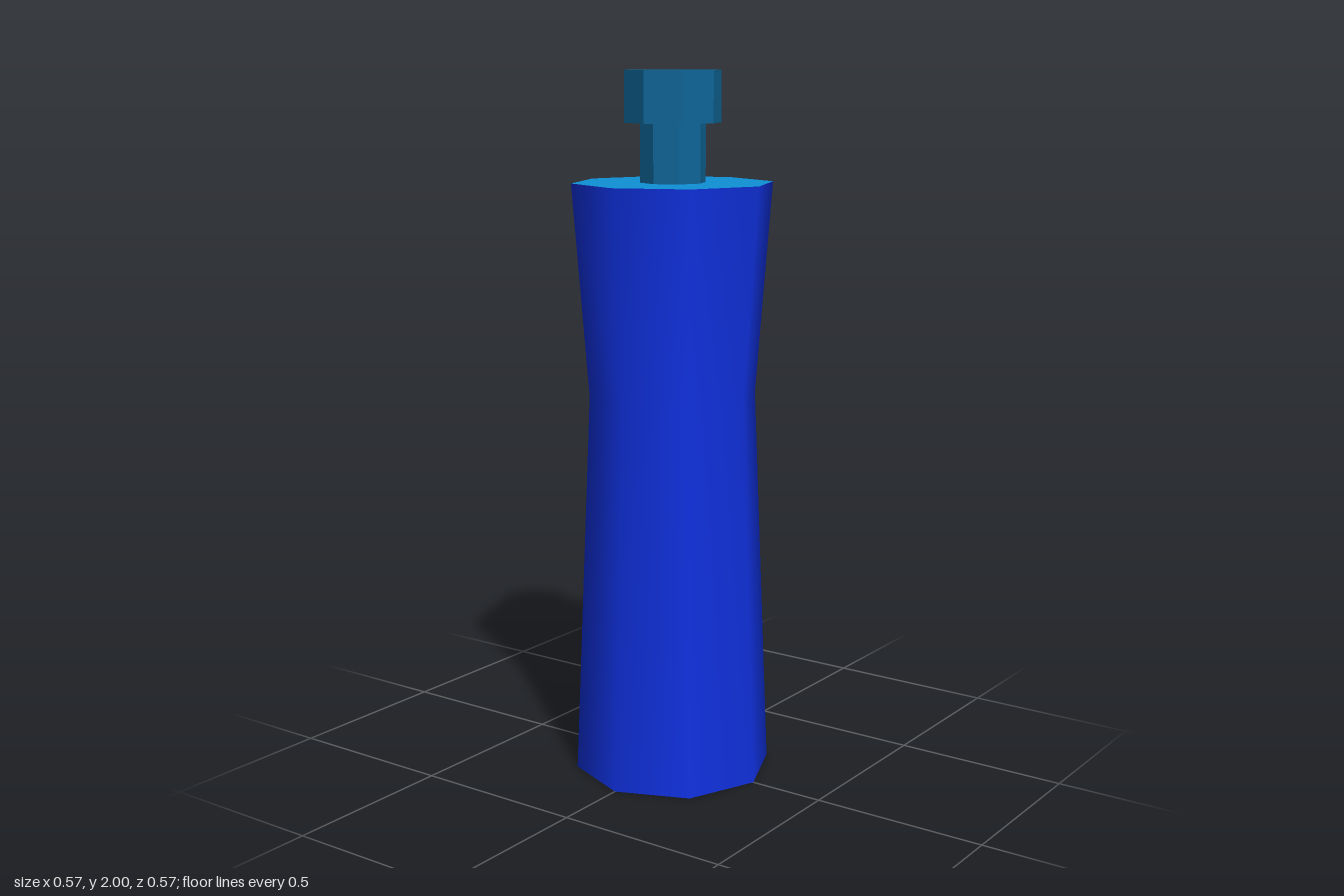
import * as THREE from 'three';

const SIDES = 8;

function material(name, color, flatShading = false) {
  const m = new THREE.MeshStandardMaterial({ color, flatShading });
  m.name = name;
  return m;
}

export function createModel() {
  const group = new THREE.Group();
  group.name = 'bottle';

  const bodyBlue = material('body blue', 0x1031e0);
  const shoulderBlue = material('shoulder light blue', 0x0f90d6);
  const capTeal = material('cap dark teal', 0x0f6699, true);

  function add(name, geometry, mat, y = 0) {
    const mesh = new THREE.Mesh(geometry, mat);
    mesh.name = name;
    mesh.position.y = y;
    group.add(mesh);
  }

  // Waisted eight-sided body with smooth walls
  const profile = [[0.283, 0], [0.237, 1.1], [0.283, 1.695]].map(([r, y]) => new THREE.Vector2(r, y));
  add('body', new THREE.LatheGeometry(profile, SIDES), bodyBlue);

  // Flat base and shoulder discs closing the body
  add('base', new THREE.CircleGeometry(0.283, SIDES).rotateX(Math.PI / 2), bodyBlue);
  add('shoulder', new THREE.CircleGeometry(0.283, SIDES).rotateX(-Math.PI / 2), shoulderBlue, 1.695);

  // Faceted neck and cap
  add('neck', new THREE.CylinderGeometry(0.092, 0.092, 0.165, SIDES), capTeal, 1.7775);
  add('cap', new THREE.CylinderGeometry(0.135, 0.135, 0.142, SIDES), capTeal, 1.929);

  return group;
}
